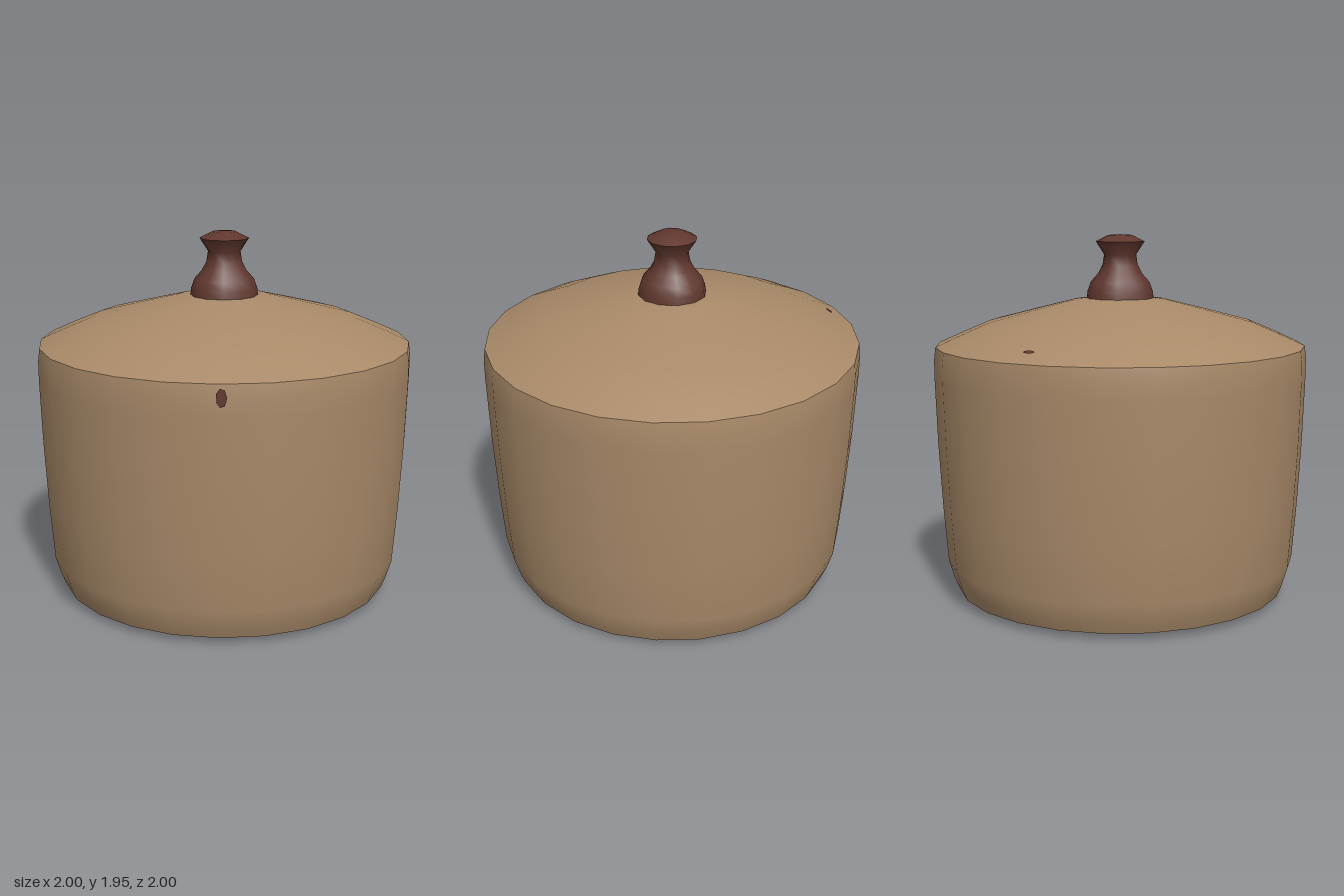
import * as THREE from 'three';

const clay = new THREE.MeshStandardMaterial({ color: 0xa98a69 });
clay.name = 'tan clay';
const wood = new THREE.MeshStandardMaterial({ color: 0x60372e });
wood.name = 'dark red brown';

// Turned part from [radius, height] points, listed bottom to top
function turned(name, points, sides, material) {
  const profile = points.map(([r, y]) => new THREE.Vector2(r, y));
  const mesh = new THREE.Mesh(new THREE.LatheGeometry(profile, sides), material);
  mesh.name = name;
  return mesh;
}

// Small painted spot: a thin disc on the surface, tilted to face outward and up
function spot(name, angle, radius, y, tilt, width, height) {
  const pivot = new THREE.Group();
  pivot.name = name;
  pivot.rotation.y = angle;
  const mesh = new THREE.Mesh(new THREE.CircleGeometry(0.5, 7), wood);
  mesh.name = name + 'Paint';
  mesh.scale.set(width, height, 1);
  mesh.position.set(0, y, radius);
  mesh.rotation.x = -tilt;
  pivot.add(mesh);
  return pivot;
}

export function createModel() {
  const model = new THREE.Group();
  model.name = 'lidded pot';

  // Flat underside and tapering wall with a rounded foot
  model.add(turned('underside', [[0, 0.005], [0.79, 0.005], [0.89, 0.04]], 24, clay));
  model.add(turned('wall', [
    [0.89, 0.04], [0.915, 0.1], [0.945, 0.2], [0.968, 0.5],
    [0.987, 0.85], [0.998, 1.2], [0.998, 1.3], [0.99, 1.365],
  ], 24, clay));

  // Shallow domed lid
  model.add(turned('lid', [
    [0.99, 1.365], [0.87, 1.42], [0.71, 1.488], [0.48, 1.548],
    [0.25, 1.606], [0.15, 1.617], [0, 1.617],
  ], 24, clay));

  // Bell shaped knob with a flared top
  model.add(turned('knob', [
    [0.182, 1.6], [0.176, 1.65], [0.158, 1.7], [0.118, 1.745], [0.095, 1.79],
    [0.086, 1.845], [0.131, 1.915],
  ], 12, wood));
  model.add(turned('knobTop', [[0.131, 1.915], [0.065, 1.948], [0, 1.952]], 12, wood));

  // Stray paint spots
  model.add(spot('wallSpot', -0.507, 1.002, 1.3, 0, 0.055, 0.095));
  model.add(spot('lidSpot', Math.PI + 0.1, 0.892, 1.414, 1.16, 0.065, 0.03));

  return model;
}
